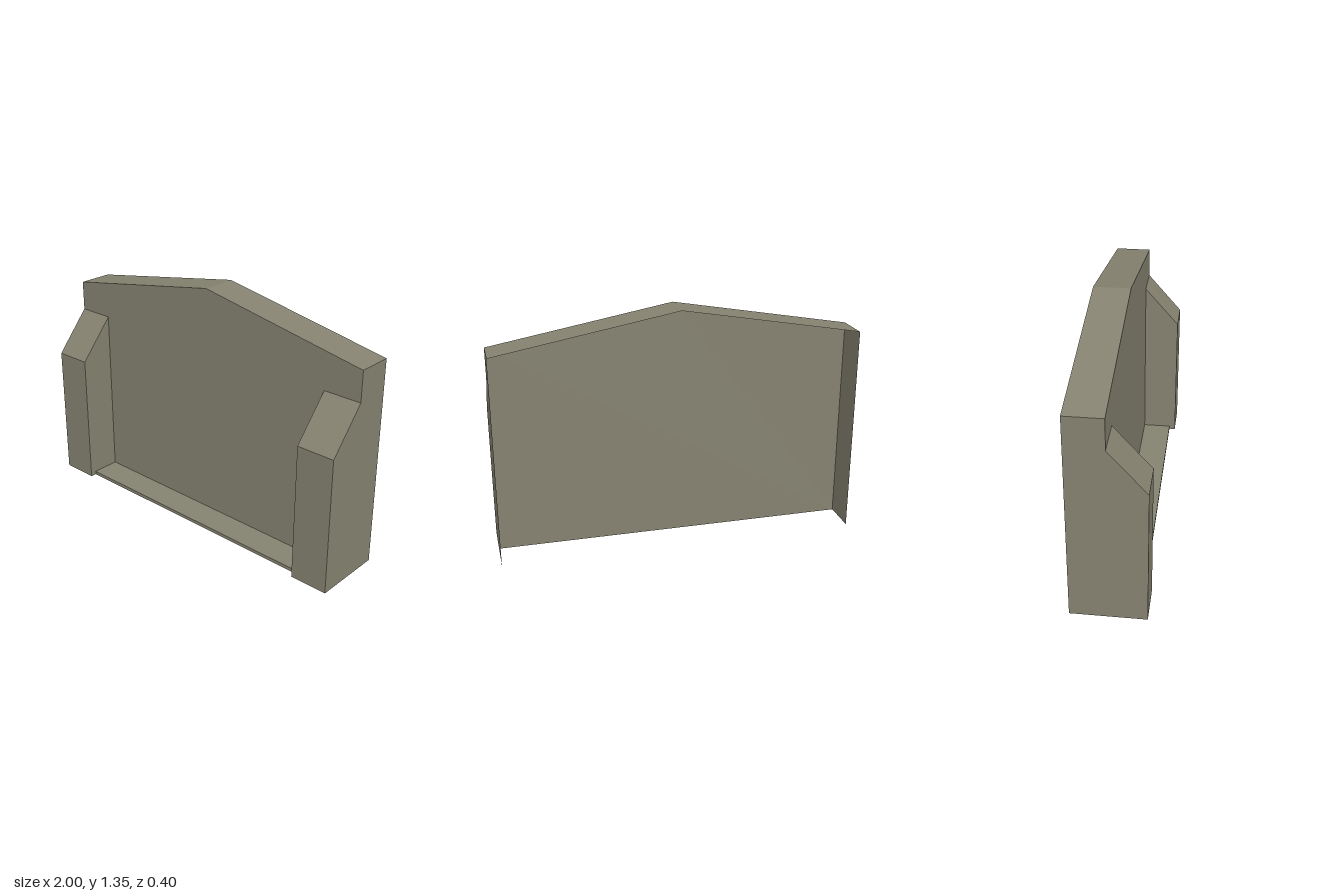
import * as THREE from 'three';

const W = 1, FRONT = 0.2, BACK = -0.2, EAVE = 1.17, PEAK = 1.35;
const POST_IN = 0.785, POST_LOW = 0.77, POST_TOP = 1.0;

// Sweeps a polyline of points along an offset into flat quads.
function sweep(points, offset) {
  const positions = [];
  for (let i = 0; i < points.length - 1; i++) {
    const p = new THREE.Vector3(...points[i]);
    const q = new THREE.Vector3(...points[i + 1]);
    const po = p.clone().add(offset), qo = q.clone().add(offset);
    for (const v of [p, po, qo, p, qo, q]) positions.push(v.x, v.y, v.z);
  }
  const geometry = new THREE.BufferGeometry();
  geometry.setAttribute('position', new THREE.Float32BufferAttribute(positions, 3));
  geometry.computeVertexNormals();
  return geometry;
}

// Flat polygon from [a, y] corners.
function plate(corners) {
  return new THREE.ShapeGeometry(new THREE.Shape(corners.map(([a, y]) => new THREE.Vector2(a, y))));
}

// Upright polygon from [z, y] corners at a given x, facing +x or -x.
function sidePlate(corners, x, facing) {
  return plate(corners.map(([z, y]) => [-facing * z, y]))
    .rotateY(facing * Math.PI / 2)
    .translate(x, 0, 0);
}

export function createModel() {
  const group = new THREE.Group();
  const stone = new THREE.MeshStandardMaterial({ color: 0x858270, side: THREE.DoubleSide });
  stone.name = 'olive grey';

  const add = (name, geometry) => {
    const mesh = new THREE.Mesh(geometry, stone);
    mesh.name = name;
    group.add(mesh);
  };

  // Gabled wall panel, set halfway in depth; the shell is open behind it
  add('wallPanel', plate([[-W, 0], [W, 0], [W, EAVE], [0, PEAK], [-W, EAVE]]));

  // Sloping top reaching back from the panel
  add('gableTop', sweep(
    [[-W, EAVE, BACK], [0, PEAK, BACK], [W, EAVE, BACK]],
    new THREE.Vector3(0, 0, -BACK)));

  // Thin ledge along the foot, open underneath
  const lip = 0.165, step = 0.02;
  add('footLedge', sweep(
    [[-POST_IN, 0, lip], [-POST_IN, step, lip], [-POST_IN, step, 0]],
    new THREE.Vector3(2 * POST_IN, 0, 0)));

  for (const side of [-1, 1]) {
    const label = side > 0 ? 'left' : 'right';

    // Outer side wall, including the side of the buttress
    add(label + 'SideWall', sidePlate(
      [[BACK, 0], [FRONT, 0], [FRONT, POST_LOW], [0, POST_TOP], [0, EAVE], [BACK, EAVE]],
      side * W, side));

    // Buttress front and sloped cap
    const x = side > 0 ? POST_IN : -W;
    add(label + 'ButtressFront', sweep(
      [[x, 0, FRONT], [x, POST_LOW, FRONT], [x, POST_TOP, 0]],
      new THREE.Vector3(W - POST_IN, 0, 0)));

    // Buttress inner face
    add(label + 'ButtressInner', sidePlate(
      [[0, 0], [FRONT, 0], [FRONT, POST_LOW], [0, POST_TOP]],
      side * POST_IN, -side));
  }
  return group;
}
